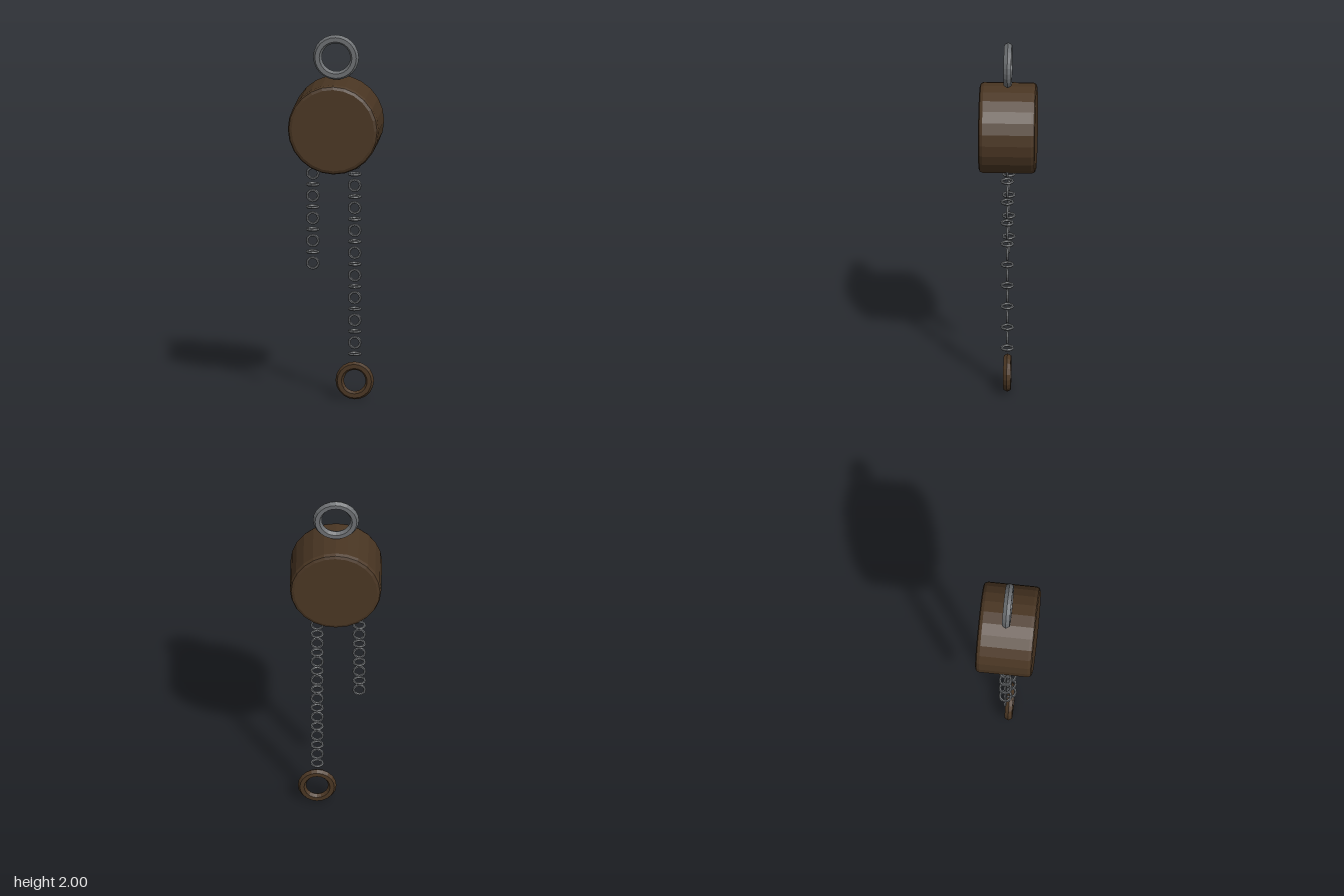
import * as THREE from 'three';

const wood = new THREE.MeshStandardMaterial({ color: 0x4a3623, flatShading: true });
wood.name = 'dark brown';
const steel = new THREE.MeshStandardMaterial({ color: 0x6c6f72, flatShading: true });
steel.name = 'steel grey';

function addMesh(parent, name, geometry, material, x, y) {
  const mesh = new THREE.Mesh(geometry, material);
  mesh.name = name;
  mesh.position.set(x, y, 0);
  parent.add(mesh);
  return mesh;
}

// Chain of links hanging down, alternately upright and turned flat
function addChain(parent, name, x, count, firstFlat) {
  const chain = new THREE.Group();
  chain.name = name;
  const link = new THREE.TorusGeometry(0.03, 0.0075, 6, 12);
  for (let i = 0; i < count; i++) {
    const mesh = addMesh(chain, 'link', link, steel, x, 1.3 - i * 0.0616);
    if ((i % 2 === 0) === firstFlat) mesh.rotation.x = Math.PI / 2;
  }
  parent.add(chain);
}

export function createModel() {
  const model = new THREE.Group();
  model.name = 'chainHoist';

  // Drum housing with softened rims, axis along z
  const R = 0.245, D = 0.153;
  const half = [[0, D], [R - 0.022, D], [R - 0.007, D - 0.006], [R, D - 0.022]];
  const profile = [
    ...half.map(([r, z]) => new THREE.Vector2(r, -z)),
    ...half.slice().reverse().map(([r, z]) => new THREE.Vector2(r, z)),
  ];
  const drum = new THREE.LatheGeometry(profile, 24);
  drum.rotateX(Math.PI / 2);
  addMesh(model, 'housing', drum, wood, 0, 1.507);

  // Hanging ring on top
  addMesh(model, 'hangingRing', new THREE.TorusGeometry(0.1, 0.0235, 6, 24), steel, 0, 1.8765);

  // Short and long chains
  addChain(model, 'shortChain', -0.125, 10, true);
  addChain(model, 'longChain', 0.101, 18, false);

  // Pull ring at the end of the long chain
  addMesh(model, 'pullRing', new THREE.TorusGeometry(0.081, 0.0225, 6, 20), wood, 0.101, 0.106);

  return model;
}
